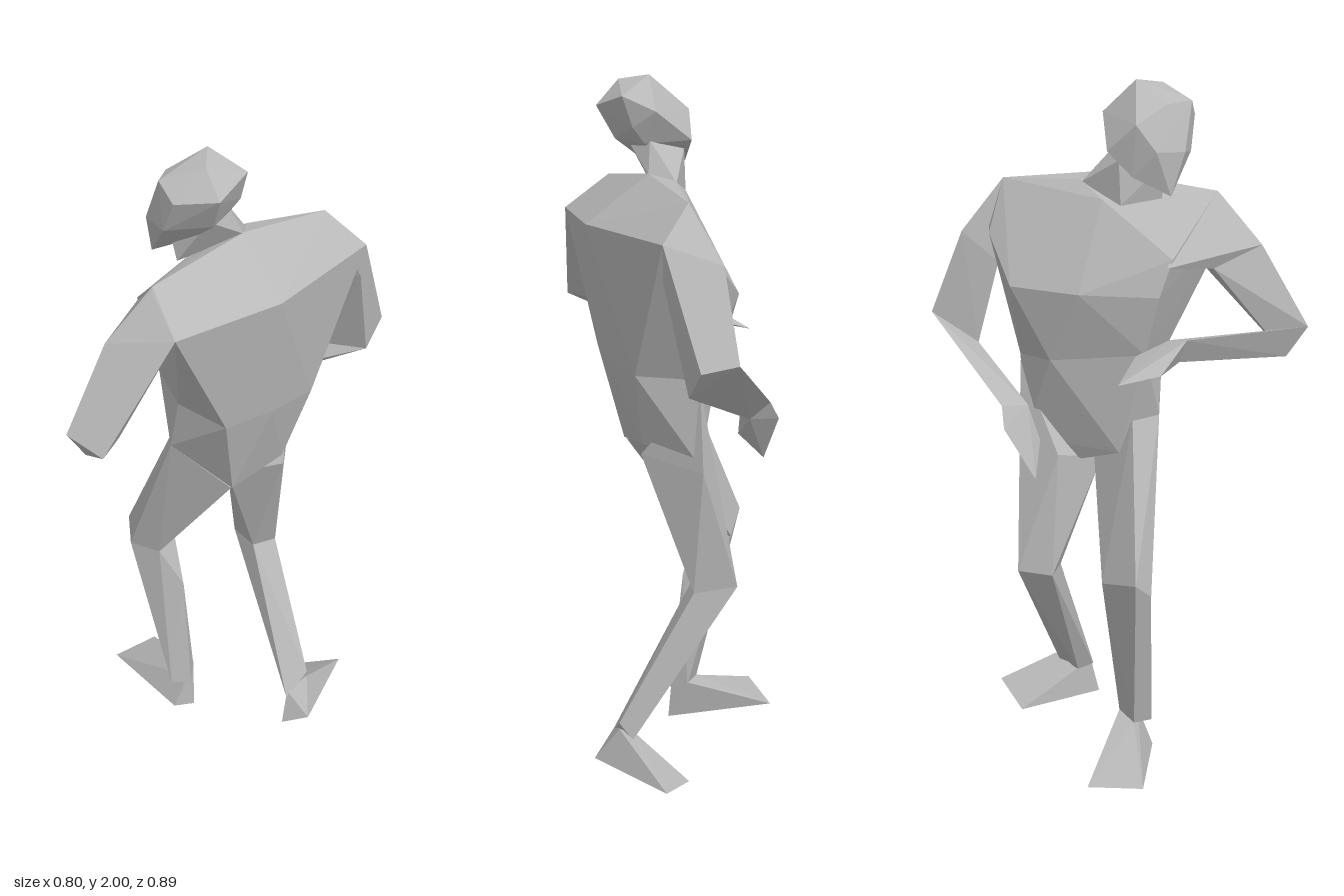
import * as THREE from 'three';
import { ConvexGeometry } from 'three/addons/geometries/ConvexGeometry.js';

const grey = new THREE.MeshStandardMaterial({ color: 0xb8b8b8, flatShading: true });
grey.name = 'plain grey';

// A faceted solid wrapped around one or more cross-sections of [x, y, z] corners
function solid(name, ...rings) {
  const points = rings.flat().map((p) => new THREE.Vector3(...p));
  const mesh = new THREE.Mesh(new ConvexGeometry(points), grey);
  mesh.name = name;
  return mesh;
}

// A limb: consecutive cross-sections joined into named segments
function limb(name, parts, rings) {
  const group = new THREE.Group();
  group.name = name;
  parts.forEach((part, i) => group.add(solid(part, rings[i], rings[i + 1])));
  return group;
}

export function createModel() {
  const model = new THREE.Group();
  model.name = 'standingFigure';

  // Torso cross-sections, from the neck base down to the crotch
  const shoulders = [
    [-0.135, 1.70, 0.23], [0.05, 1.745, -0.02], [0.23, 1.715, -0.25], [-0.05, 1.69, -0.08],
    [0.04, 1.73, -0.1], [-0.055, 1.605, 0.33], [0.175, 1.615, 0.105], [0.35, 1.625, -0.245],
    [0.2, 1.57, -0.31], [-0.23, 1.55, 0.04],
  ];
  const chest = [[-0.23, 1.45, 0.0], [-0.105, 1.45, -0.18], [0.06, 1.45, -0.31]];
  const waist = [
    [-0.115, 1.24, 0.07], [0.04, 1.24, 0.16], [0.15, 1.24, 0.05], [0.235, 1.23, -0.09],
    [0.15, 1.22, -0.245], [0.0, 1.24, -0.22], [-0.19, 1.28, -0.02],
  ];
  const pelvis = [
    [-0.145, 1.08, 0.05], [0.04, 0.97, 0.07], [0.16, 1.01, -0.065],
    [0.14, 0.97, -0.24], [-0.01, 0.93, -0.13], [-0.13, 0.98, -0.07],
  ];
  model.add(solid('chest', shoulders, chest, waist), solid('abdomen', waist, pelvis));

  // Neck and bowed head
  model.add(solid('neck',
    [[0.05, 1.74, -0.02], [0.035, 1.725, -0.1], [-0.1, 1.68, -0.05], [-0.11, 1.69, 0.07]],
    [[0.01, 1.83, 0.0], [-0.02, 1.82, 0.09], [-0.09, 1.8, -0.05], [-0.13, 1.8, 0.08]]));
  model.add(solid('head',
    [[-0.035, 2.0, 0.03], [-0.02, 1.985, 0.12], [0.072, 1.95, 0.05], [-0.135, 1.945, 0.07],
      [-0.135, 1.95, 0.145]],
    [[0.035, 1.91, -0.035], [0.025, 1.915, 0.165], [-0.09, 1.905, 0.18], [-0.15, 1.9, -0.03]],
    [[-0.08, 1.825, -0.08], [0.05, 1.865, 0.03], [0.02, 1.82, 0.01], [0.0, 1.825, 0.12],
      [-0.125, 1.815, 0.15], [-0.182, 1.825, 0.1], [-0.18, 1.83, 0.015]],
    [[-0.18, 1.71, 0.06], [-0.13, 1.76, -0.03], [-0.08, 1.75, 0.06]]));

  // Arms: shoulder, elbow, wrist, fingertips
  model.add(limb('leftArm', ['leftShoulder', 'leftUpperArm', 'leftForearm', 'leftHand'], [
    [[-0.135, 1.70, 0.23], [-0.1, 1.69, 0.17], [-0.235, 1.53, 0.02]],
    [[-0.055, 1.605, 0.33], [-0.135, 1.69, 0.24], [-0.245, 1.565, 0.31], [-0.225, 1.51, 0.17],
      [-0.12, 1.48, 0.21]],
    [[-0.33, 1.34, 0.415], [-0.225, 1.3, 0.445], [-0.295, 1.25, 0.37], [-0.21, 1.3, 0.35]],
    [[-0.287, 1.34, 0.055], [-0.235, 1.33, 0.03], [-0.255, 1.27, 0.05]],
    [[-0.335, 1.27, -0.05], [-0.3, 1.25, -0.16], [-0.21, 1.29, -0.06]],
  ]));
  model.add(limb('rightArm', ['rightUpperArm', 'rightForearm', 'rightHand'], [
    [[0.35, 1.625, -0.245], [0.23, 1.715, -0.25], [0.255, 1.57, -0.37], [0.34, 1.53, -0.24],
      [0.21, 1.48, -0.28]],
    [[0.31, 1.33, -0.45], [0.395, 1.32, -0.385], [0.36, 1.24, -0.33], [0.245, 1.24, -0.335]],
    [[-0.015, 1.135, -0.375], [0.0, 1.12, -0.29], [0.0, 1.08, -0.32]],
    [[-0.05, 1.08, -0.385], [-0.1, 0.935, -0.315], [-0.03, 1.02, -0.268]],
  ]));

  // Legs: hip, knee, ankle, with a calf corner behind each knee
  model.add(limb('leftLeg', ['leftThigh', 'leftCalf'], [
    [[-0.145, 1.08, 0.05], [0.035, 0.965, 0.065], [-0.01, 0.94, -0.09], [-0.155, 1.08, -0.04]],
    [[-0.33, 0.66, -0.12], [-0.31, 0.605, -0.06], [-0.21, 0.61, -0.03], [-0.2, 0.62, -0.16]],
    [[-0.135, 0.49, -0.03], [-0.19, 0.12, -0.05], [-0.115, 0.12, -0.06], [-0.11, 0.1, 0.0],
      [-0.17, 0.1, 0.02]],
  ]));
  model.add(limb('rightLeg', ['rightThigh', 'rightCalf'], [
    [[0.0, 0.92, -0.06], [0.165, 0.98, -0.065], [0.15, 1.2, -0.245], [0.145, 0.95, -0.255],
      [0.0, 0.95, -0.2]],
    [[-0.012, 0.575, -0.23], [0.06, 0.57, -0.17], [0.122, 0.57, -0.215], [0.045, 0.585, -0.315]],
    [[0.135, 0.49, -0.18], [0.265, 0.17, -0.05], [0.21, 0.1, 0.01], [0.255, 0.12, -0.09],
      [0.2, 0.1, -0.05]],
  ]));

  // Wedge feet, toes turned outward and soles slightly rolled
  model.add(solid('leftFoot',
    [[-0.19, 0.12, -0.05], [-0.115, 0.13, -0.06], [-0.12, 0.12, 0.0]],
    [[-0.16, 0.005, 0.03], [-0.1, 0, 0.0], [-0.4, 0.04, -0.13], [-0.3, 0.025, -0.26]]));
  model.add(solid('rightFoot',
    [[0.265, 0.15, -0.05], [0.21, 0.12, 0.0], [0.22, 0.12, -0.08]],
    [[0.2, 0, 0.025], [0.285, 0.04, 0.025], [0.345, 0.045, -0.26], [0.2, 0.005, -0.25]]));

  return model;
}
